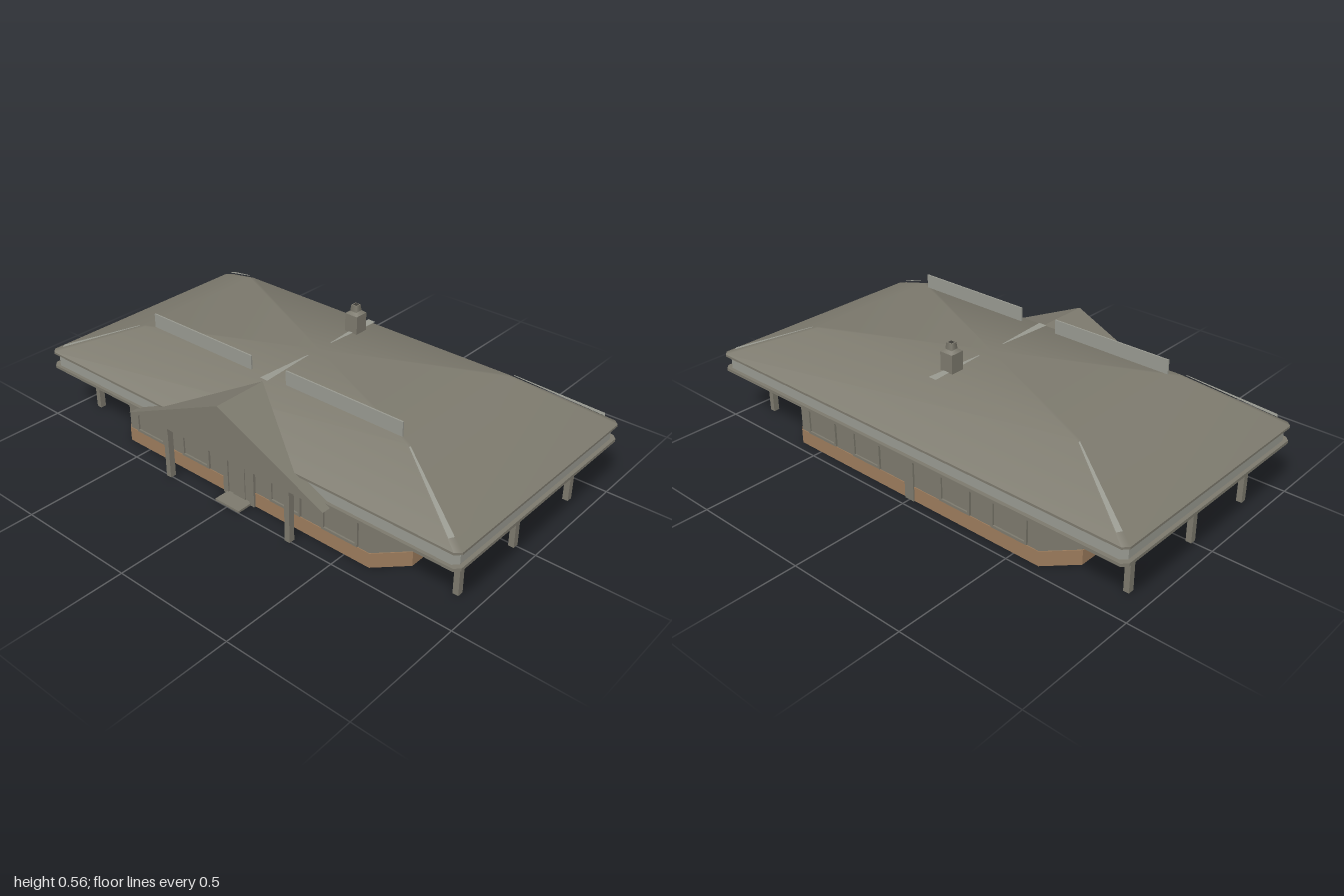
import * as THREE from 'three';

const mat = (name, color, side = THREE.FrontSide) => {
  const m = new THREE.MeshStandardMaterial({ color, side });
  m.name = name;
  return m;
};

export function createModel() {
  const house = new THREE.Group();
  house.name = 'house';
  const stone = mat('warm grey', 0x7c796d);
  const pale = mat('pale grey', 0x989990, THREE.DoubleSide);
  const brick = mat('brown', 0x9b7b5c);
  const dark = mat('dark grey', 0x3c3b37);

  const add = (name, geo, material, parent = house) => {
    const m = new THREE.Mesh(geo, material);
    m.name = name;
    parent.add(m);
    return m;
  };
  const box = (name, x0, x1, y0, y1, z0, z1, material, parent) => {
    const g = new THREE.BoxGeometry(x1 - x0, y1 - y0, z1 - z0);
    g.translate((x0 + x1) / 2, (y0 + y1) / 2, (z0 + z1) / 2);
    return add(name, g, material, parent);
  };
  // Rectangle with cut corners, as [x, z] points
  const outline = (hx, z0, z1, c) => [
    [hx - c, z1], [hx, z1 - c], [hx, z0 + c], [hx - c, z0],
    [c - hx, z0], [-hx, z0 + c], [-hx, z1 - c], [c - hx, z1],
  ];
  const slab = (name, hx, z0, z1, c, y0, y1, material) => {
    const shape = new THREE.Shape(outline(hx, z0, z1, c).map(([x, z]) => new THREE.Vector2(x, -z)));
    const g = new THREE.ExtrudeGeometry(shape, { depth: y1 - y0, bevelEnabled: false });
    g.rotateX(-Math.PI / 2);
    g.translate(0, y0, 0);
    return add(name, g, material);
  };

  // Walls with chamfered corners
  slab('wallBase', 0.715, -0.46, 0.43, 0.105, 0, 0.06, brick);
  slab('walls', 0.712, -0.457, 0.427, 0.104, 0.06, 0.188, stone);
  slab('wallTop', 0.712, -0.457, 0.427, 0.104, 0.188, 0.225, pale);
  box('floorUnderside', -0.6, 0.6, -0.0005, 0.002, -0.45, 0.42, stone);

  // Eaves: two lips around a paler band
  slab('lowerEaveLip', 1, -0.525, 0.49, 0.02, 0.22, 0.232, stone);
  slab('fascia', 0.985, -0.51, 0.477, 0.02, 0.232, 0.284, pale);
  slab('upperEaveLip', 1, -0.525, 0.49, 0.02, 0.284, 0.293, stone);

  // Smooth hipped roof with a flat top
  const pos = [];
  outline(1, -0.525, 0.49, 0.02).forEach(([x, z]) => pos.push(x, 0.293, z));
  outline(0.65, -0.32, 0.29, 0.01).forEach(([x, z]) => pos.push(x, 0.445, z));
  pos.push(0, 0.445, -0.015);
  const idx = [];
  for (let i = 0; i < 8; i++) {
    const j = (i + 1) % 8;
    idx.push(i, j, j + 8, i, j + 8, i + 8, i + 8, j + 8, 16);
  }
  const roof = new THREE.BufferGeometry();
  roof.setAttribute('position', new THREE.Float32BufferAttribute(pos, 3));
  roof.setIndex(idx);
  roof.computeVertexNormals();
  add('roof', roof, stone);

  // Thin tapered caps on the hips and the top
  const cap = (name, a, b, wa, wb) => {
    const A = new THREE.Vector3(...a), B = new THREE.Vector3(...b);
    const s = new THREE.Vector3(0, 1, 0).cross(B.clone().sub(A)).normalize();
    const p = [
      A.clone().addScaledVector(s, wa), A.clone().addScaledVector(s, -wa),
      B.clone().addScaledVector(s, -wb), B.clone().addScaledVector(s, wb),
    ];
    const g = new THREE.BufferGeometry().setFromPoints(p);
    g.setIndex([0, 2, 1, 0, 3, 2]);
    g.computeVertexNormals();
    add(name, g, pale);
  };
  for (const sx of [-1, 1]) {
    cap('hipCap', [sx * 0.66, 0.446, 0.297], [sx * 0.95, 0.32, 0.462], 0.003, 0.011);
    cap('hipCap', [sx * 0.66, 0.446, -0.327], [sx * 0.95, 0.32, -0.496], 0.003, 0.011);
  }
  cap('topCap', [0, 0.448, 0.29], [0, 0.448, 0.05], 0.018, 0.002);
  cap('topCap', [0, 0.448, -0.33], [0, 0.448, -0.08], 0.018, 0.002);

  // Front gable: sloping roof shell over a recessed triangle
  const prism = (name, pts, z0, z1) => {
    const shape = new THREE.Shape(pts.map(([x, y]) => new THREE.Vector2(x, y)));
    const g = new THREE.ExtrudeGeometry(shape, { depth: z1 - z0, bevelEnabled: false });
    g.translate(0, 0, z0);
    add(name, g, stone);
  };
  prism('gableRoof', [[-0.485, 0.222], [-0.45, 0.222], [0, 0.425], [0.45, 0.222], [0.485, 0.222], [0, 0.441]], 0.295, 0.525);
  prism('gableFace', [[-0.455, 0.2215], [0.455, 0.2215], [0, 0.428]], 0.3, 0.512);

  // Upright panels on the roof and the chimney
  for (const sx of [-1, 1]) {
    const x = sx * 0.345;
    box('roofPanel', x - 0.26, x + 0.26, 0.443, 0.502, 0.259, 0.265, pale);
  }
  box('chimney', -0.029, 0.029, 0.44, 0.52, -0.257, -0.2, stone);
  const neck = new THREE.CylinderGeometry(0.024, 0.041, 0.01, 4);
  neck.rotateY(Math.PI / 4);
  neck.translate(0, 0.525, -0.2285);
  add('chimneyShoulder', neck, stone);
  const pot = new THREE.CylinderGeometry(0.018, 0.022, 0.025, 4);
  pot.rotateY(Math.PI / 4);
  pot.translate(0, 0.5425, -0.2285);
  add('chimneyPot', pot, stone);
  box('chimneyOpening', -0.008, 0.008, 0.55, 0.556, -0.2365, -0.2205, dark);

  // Porch columns with a slightly wider head
  const column = (x, z) => {
    const g = new THREE.Group();
    g.name = 'column';
    box('columnShaft', -0.0115, 0.0115, 0, 0.208, -0.0125, 0.0125, stone, g);
    box('columnHead', -0.0145, 0.0145, 0.205, 0.222, -0.016, 0.016, stone, g);
    g.position.set(x, 0, z);
    house.add(g);
  };
  for (const sx of [-1, 1]) {
    column(sx * 0.305, 0.495);
    for (const z of [0.338, 0.003, -0.364]) column(sx * 0.91, z);
  }

  // Framed windows, built facing +z and turned to each wall
  const windowAt = (x, z, w, turn) => {
    const g = new THREE.Group();
    g.name = 'window';
    const h = 0.122, t = 0.01;
    const rect = (P, a, b) => new P([
      new THREE.Vector2(-a, -b), new THREE.Vector2(a, -b), new THREE.Vector2(a, b), new THREE.Vector2(-a, b),
    ]);
    const frame = rect(THREE.Shape, w / 2, h / 2);
    frame.holes.push(rect(THREE.Path, w / 2 - t, h / 2 - t));
    add('windowFrame', new THREE.ExtrudeGeometry(frame, { depth: 0.009, bevelEnabled: false }), stone, g);
    box('windowPane', t - w / 2, w / 2 - t, t - h / 2, h / 2 - t, 0, 0.002, stone, g);
    g.position.set(x, 0.126, z);
    g.rotation.y = turn;
    house.add(g);
  };
  for (const sx of [-1, 1]) {
    for (const [x, w] of [[0.48, 0.16], [0.228, 0.146]]) {
      windowAt(sx * x, 0.427, w, 0);
      windowAt(sx * x, -0.457, w, Math.PI);
    }
    windowAt(sx * 0.712, 0.163, 0.155, sx * Math.PI / 2);
    windowAt(sx * 0.712, -0.117, 0.105, sx * Math.PI / 2);
  }

  // Front door with surround and step, and the rear pier
  for (const sx of [-1, 1]) {
    const x = sx * 0.066;
    box('doorSurround', x - 0.012, x + 0.012, 0, 0.22, 0.42, 0.438, stone);
  }
  box('doorHead', -0.054, 0.054, 0.195, 0.22, 0.42, 0.438, stone);
  box('doorBacking', -0.054, 0.054, 0.01, 0.195, 0.42, 0.432, stone);
  box('door', -0.03, 0.03, 0.01, 0.188, 0.43, 0.436, stone);
  box('doorStep', -0.06, 0.06, 0, 0.009, 0.42, 0.5, stone);
  box('rearPier', -0.022, 0.022, 0, 0.222, -0.465, -0.45, stone);

  return house;
}
